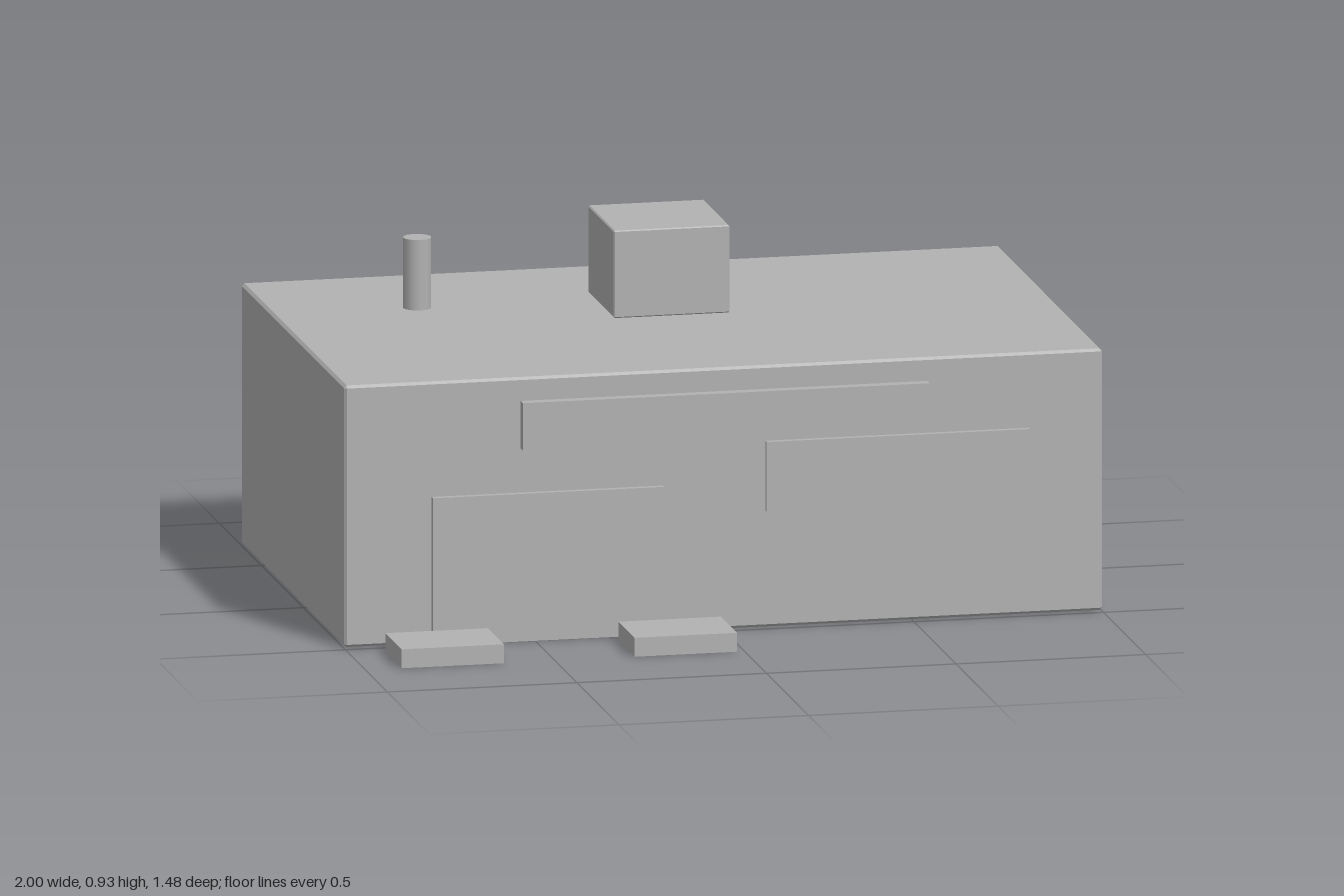
import * as THREE from 'three';
import { ConvexGeometry } from 'three/addons/geometries/ConvexGeometry.js';

const grey = new THREE.MeshStandardMaterial({ color: 0xb2b2b2 });
grey.name = 'plain grey';

export function createModel() {
  const model = new THREE.Group();
  model.name = 'shopBuilding';

  const add = (name, geometry, x, y, z) => {
    const mesh = new THREE.Mesh(geometry, grey);
    mesh.name = name;
    mesh.position.set(x, y, z);
    model.add(mesh);
  };

  // Box given by its lower and upper limits on each axis
  const block = (name, [x0, x1], [y0, y1], [z0, z1], chamfer = 0) => {
    const size = [x1 - x0, y1 - y0, z1 - z0];
    const geometry = chamfer ? chamferedBox(size, chamfer) : new THREE.BoxGeometry(...size);
    add(name, geometry, (x0 + x1) / 2, (y0 + y1) / 2, (z0 + z1) / 2);
  };

  // Building and the unit on its roof, both with fine chamfered edges
  block('building', [-1, 1], [0.003, 0.694], [-0.737, 0.489], 0.007);
  block('roofUnit', [-0.153, 0.153], [0.694, 0.925], [-0.432, -0.126], 0.003);

  // Chimney pipe
  add('chimney', new THREE.CylinderGeometry(0.037, 0.037, 0.19, 12), -0.62, 0.785, -0.36);

  // Front details
  block('door', [-0.77, -0.16], [0, 0.39], [0.485, 0.505]);
  block('window', [0.11, 0.805], [0.31, 0.495], [0.485, 0.505]);
  block('signBoard', [-0.538, 0.535], [0.51, 0.635], [0.502, 0.53]);

  // Paving blocks before the door
  for (const x of [-0.77, -0.155]) {
    block('pavingBlock', [x - 0.135, x + 0.135], [0, 0.05], [0.548, 0.74]);
  }

  return model;
}

// Hull of the three inset points at each corner
function chamferedBox(size, c) {
  const points = [];
  for (const sx of [-1, 1]) for (const sy of [-1, 1]) for (const sz of [-1, 1]) {
    const signs = [sx, sy, sz];
    for (let axis = 0; axis < 3; axis++) {
      const p = size.map((s, i) => signs[i] * (s / 2 - (i === axis ? 0 : c)));
      points.push(new THREE.Vector3(...p));
    }
  }
  return new ConvexGeometry(points);
}
